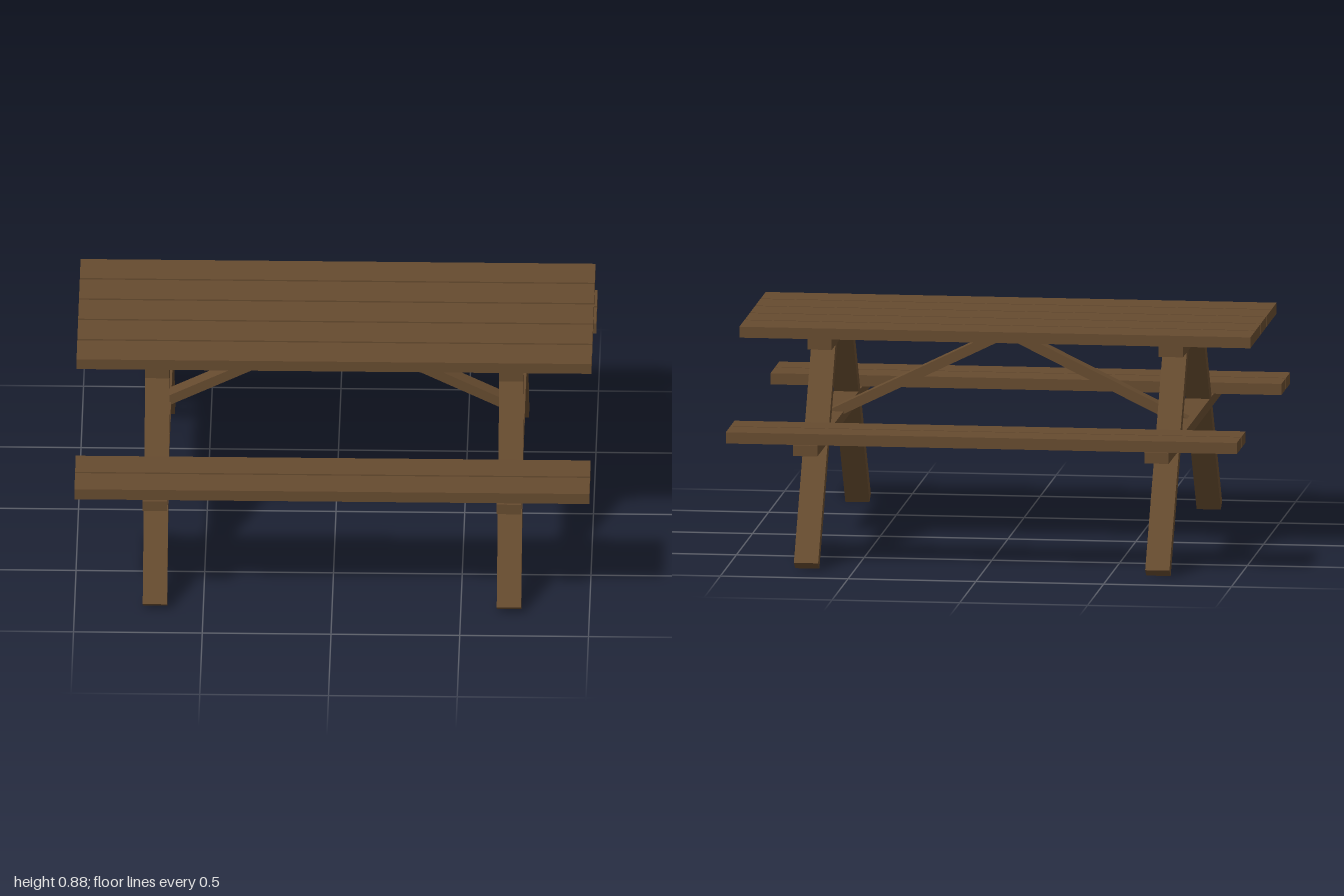
import * as THREE from 'three';

export function createModel() {
  const model = new THREE.Group();
  model.name = 'picnicTable';
  const wood = new THREE.MeshStandardMaterial({ color: 0x664b2f });
  wood.name = 'brown wood';

  const board = (name, w, h, d, x, y, z) => {
    const mesh = new THREE.Mesh(new THREE.BoxGeometry(w, h, d), wood);
    mesh.name = name;
    mesh.position.set(x, y, z);
    model.add(mesh);
    return mesh;
  };

  // Table top: five planks with narrow gaps
  for (let i = -2; i <= 2; i++) board('topPlank', 2, 0.043, 0.155, 0, 0.8615, i * 0.1655);

  // Two benches of two planks each
  for (const s of [-1, 1]) {
    for (const z of [0.623, 0.765]) board('seatPlank', 2, 0.044, 0.132, 0, 0.516, s * z);
  }

  // End frames: cleat under the top, seat beam and a splayed pair of legs
  const legFoot = { y: 0.0138, z: 0.8 }, legTop = { y: 0.82, z: 0.235 };
  const legRun = legFoot.z - legTop.z, legRise = legTop.y - legFoot.y;
  for (const x of [-0.6875, 0.6875]) {
    board('topCleat', 0.095, 0.043, 0.796, x, 0.8185, 0);
    board('seatBeam', 0.095, 0.042, 1.686, x, 0.473, 0);
    for (const s of [-1, 1]) {
      const leg = board('leg', 0.095, Math.hypot(legRun, legRise), 0.048,
        x, (legFoot.y + legTop.y) / 2, s * (legFoot.z + legTop.z) / 2);
      leg.rotation.x = -s * Math.atan2(legRun, legRise);
    }
  }

  // Diagonal braces, mitred where they meet under the middle of the top
  const slope = 0.49, endX = 0.7, thick = 0.043;
  for (const s of [-1, 1]) {
    const lowY = 0.797 - slope * endX;
    const shape = new THREE.Shape([
      new THREE.Vector2(0, 0.797),
      new THREE.Vector2(s * endX, lowY),
      new THREE.Vector2(s * (endX + 0.017), lowY + 0.035),
      new THREE.Vector2(0, 0.797 + thick),
    ]);
    const geo = new THREE.ExtrudeGeometry(shape, { depth: 0.065, bevelEnabled: false });
    geo.translate(0, 0, -0.0325);
    const brace = new THREE.Mesh(geo, wood);
    brace.name = 'diagonalBrace';
    model.add(brace);
  }
  return model;
}
